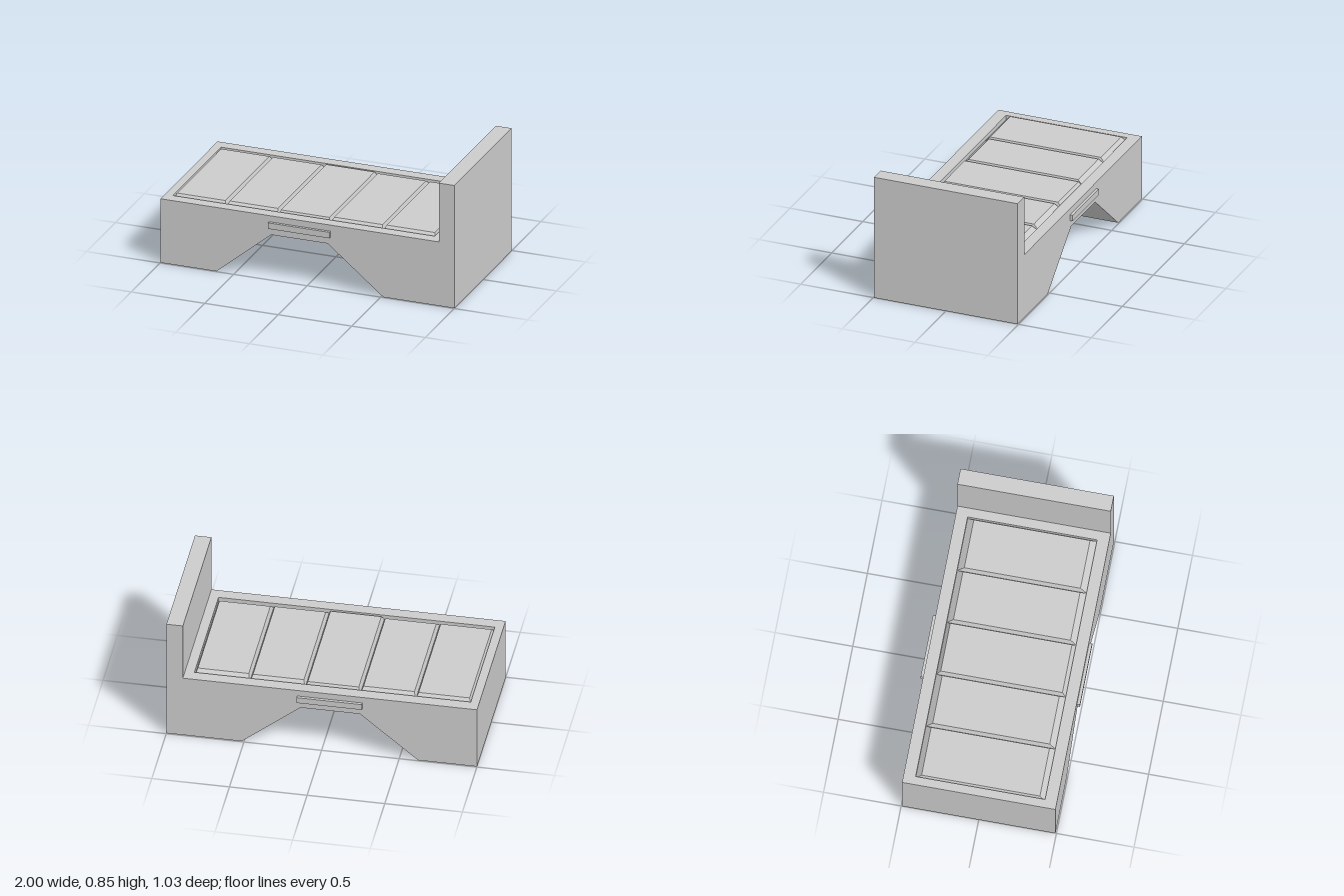
import * as THREE from 'three';

const DECK = 0.44, FLOOR = 0.41, HALF_DEPTH = 0.494;
const TRAY = { x0: -0.945, x1: 0.834, z: 0.417 };

export function createModel() {
  const group = new THREE.Group();
  const material = new THREE.MeshStandardMaterial({ color: 0xcccccc, flatShading: true });

  const add = (name, geometry, x = 0, y = 0, z = 0) => {
    const mesh = new THREE.Mesh(geometry, material);
    mesh.name = name;
    mesh.position.set(x, y, z);
    group.add(mesh);
    return mesh;
  };
  const shapeOf = (points) => new THREE.Shape(points.map(([x, y]) => new THREE.Vector2(x, y)));

  // Base with sloped archway and upright headboard, as one side profile
  const profile = shapeOf([
    [-1, 0], [-0.62, 0], [-0.247, 0.31], [0.137, 0.31], [0.515, 0], [1, 0],
    [1, 0.845], [0.894, 0.845], [0.894, FLOOR], [-1, FLOOR],
  ]);
  add('baseAndHeadboard',
    new THREE.ExtrudeGeometry(profile, { depth: HALF_DEPTH * 2, bevelEnabled: false }), 0, 0, -HALF_DEPTH);

  // Rim around the sunken tray
  const rim = shapeOf([[-1, -HALF_DEPTH], [0.894, -HALF_DEPTH], [0.894, HALF_DEPTH], [-1, HALF_DEPTH]]);
  rim.holes.push(shapeOf([
    [TRAY.x0, -TRAY.z], [TRAY.x0, TRAY.z], [TRAY.x1, TRAY.z], [TRAY.x1, -TRAY.z],
  ]));
  const rimGeometry = new THREE.ExtrudeGeometry(rim, { depth: DECK - FLOOR, bevelEnabled: false });
  rimGeometry.rotateX(-Math.PI / 2);
  add('trayRim', rimGeometry, 0, FLOOR, 0);

  // Five cushions: boxes whose top face is drawn in to slope the sides
  const topHalfDepths = [0.381, 0.377, 0.392, 0.377, 0.374];
  const width = (TRAY.x1 - TRAY.x0) / topHalfDepths.length;
  const height = 0.445 - FLOOR;
  topHalfDepths.forEach((topZ, i) => {
    const geometry = new THREE.BoxGeometry(width, height, TRAY.z * 2);
    const pos = geometry.attributes.position;
    for (let v = 0; v < pos.count; v++) {
      if (pos.getY(v) < 0) continue;
      pos.setX(v, Math.sign(pos.getX(v)) * (width / 2 - 0.014));
      pos.setZ(v, Math.sign(pos.getZ(v)) * topZ);
    }
    geometry.computeVertexNormals();
    add('cushion' + (i + 1), geometry, TRAY.x0 + (i + 0.5) * width, FLOOR + height / 2, 0);
  });

  // Side rails above the archway
  for (const side of [1, -1]) {
    add(side > 0 ? 'frontRail' : 'backRail',
      new THREE.BoxGeometry(0.42, 0.041, 0.03), -0.052, 0.377, side * 0.498);
  }
  return group;
}
